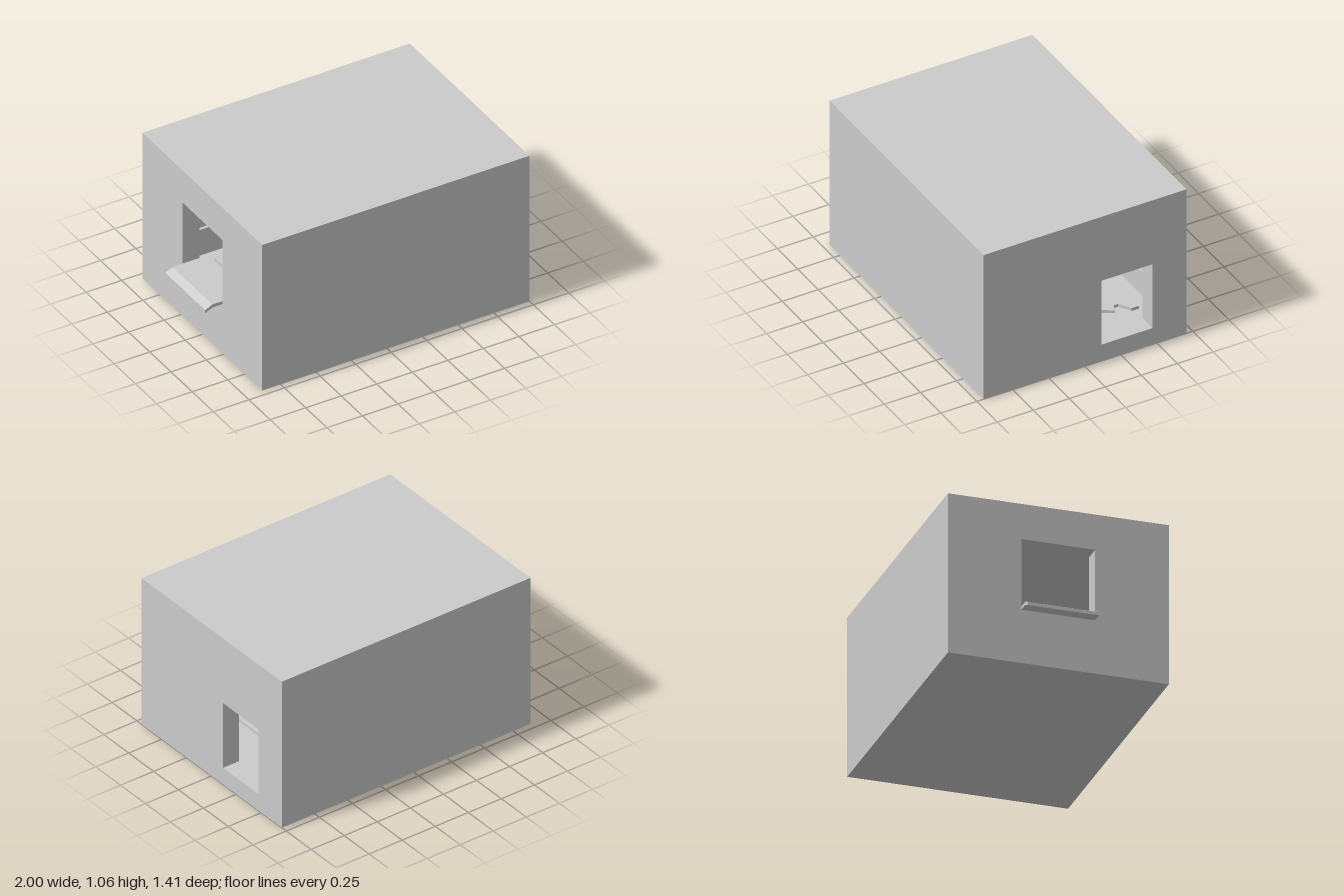
import * as THREE from 'three';

const T = 0.12;                       // wall thickness
const X0 = -0.88, X1 = 1;             // shell ends
const H = 1.06, Z = 0.705;            // shell height and half depth

const material = new THREE.MeshStandardMaterial({ color: 0xcccccc, flatShading: true });

function polygon(points) {
  return new THREE.Shape(points.map(([a, b]) => new THREE.Vector2(a, b)));
}

function extrude(shape, depth) {
  return new THREE.ExtrudeGeometry(shape, { depth, bevelEnabled: false });
}

export function createModel() {
  const group = new THREE.Group();

  const add = (name, geometry) => {
    const mesh = new THREE.Mesh(geometry, material);
    mesh.name = name;
    group.add(mesh);
    return mesh;
  };

  // Box given by its lower and upper corners
  const addBox = (name, [ax, ay, az], [bx, by, bz]) => {
    const mesh = add(name, new THREE.BoxGeometry(bx - ax, by - ay, bz - az));
    mesh.position.set((ax + bx) / 2, (ay + by) / 2, (az + bz) / 2);
  };

  // End wall in the z-y plane with one rectangular opening
  const addEndWall = (name, outerX, z0, z1, y0, y1) => {
    const shape = polygon([[-Z, 0], [Z, 0], [Z, H], [-Z, H]]);
    shape.holes.push(polygon([[z0, y0], [z0, y1], [z1, y1], [z1, y0]]));
    add(name, extrude(shape, T).rotateY(-Math.PI / 2).translate(outerX, 0, 0));
  };

  // End walls: doorway on one side, serving window on the other
  addEndWall('doorWall', X1, -0.47, -0.115, T, 0.59);
  addEndWall('windowWall', X0 + T, -0.235, 0.235, 0.355, 0.825);

  // Floor, roof and long walls
  const a = X0 + T, b = X1 - T;
  addBox('floor', [a, 0, -Z], [b, T, Z]);
  addBox('roof', [a, H - T, -Z], [b, H, Z]);
  addBox('frontWall', [a, T, Z - T], [b, H - T, Z]);
  addBox('backWall', [a, T, -Z], [b, H - T, -Z + T]);

  // Window counter with a drooping outer lip
  const counter = polygon([
    [a, 0.357], [a, 0.379], [-0.95, 0.379], [-1, 0.354], [-1, 0.333], [-0.945, 0.357],
  ]);
  add('windowCounter', extrude(counter, 0.47).translate(0, 0, -0.235));

  // Narrow rails along the inside of the long walls
  addBox('frontRail', [a, 0.25, Z - T - 0.02], [b, 0.272, Z - T]);
  addBox('backRail', [a, 0.3, -Z + T], [b, 0.322, -Z + T + 0.02]);

  // Thin floor mat with a jagged outline (shape y is -z)
  const mat = polygon([
    [-0.5, -0.3], [0.62, -0.3], [0.62, 0.21], [0.7, 0.27], [0.75, 0.35],
    [0.7, 0.37], [0.7, 0.4], [0.78, 0.45], [0.78, 0.5], [-0.5, 0.5],
  ]);
  add('floorMat', extrude(mat, 0.02).rotateX(-Math.PI / 2).translate(0, T, 0));

  return group;
}
